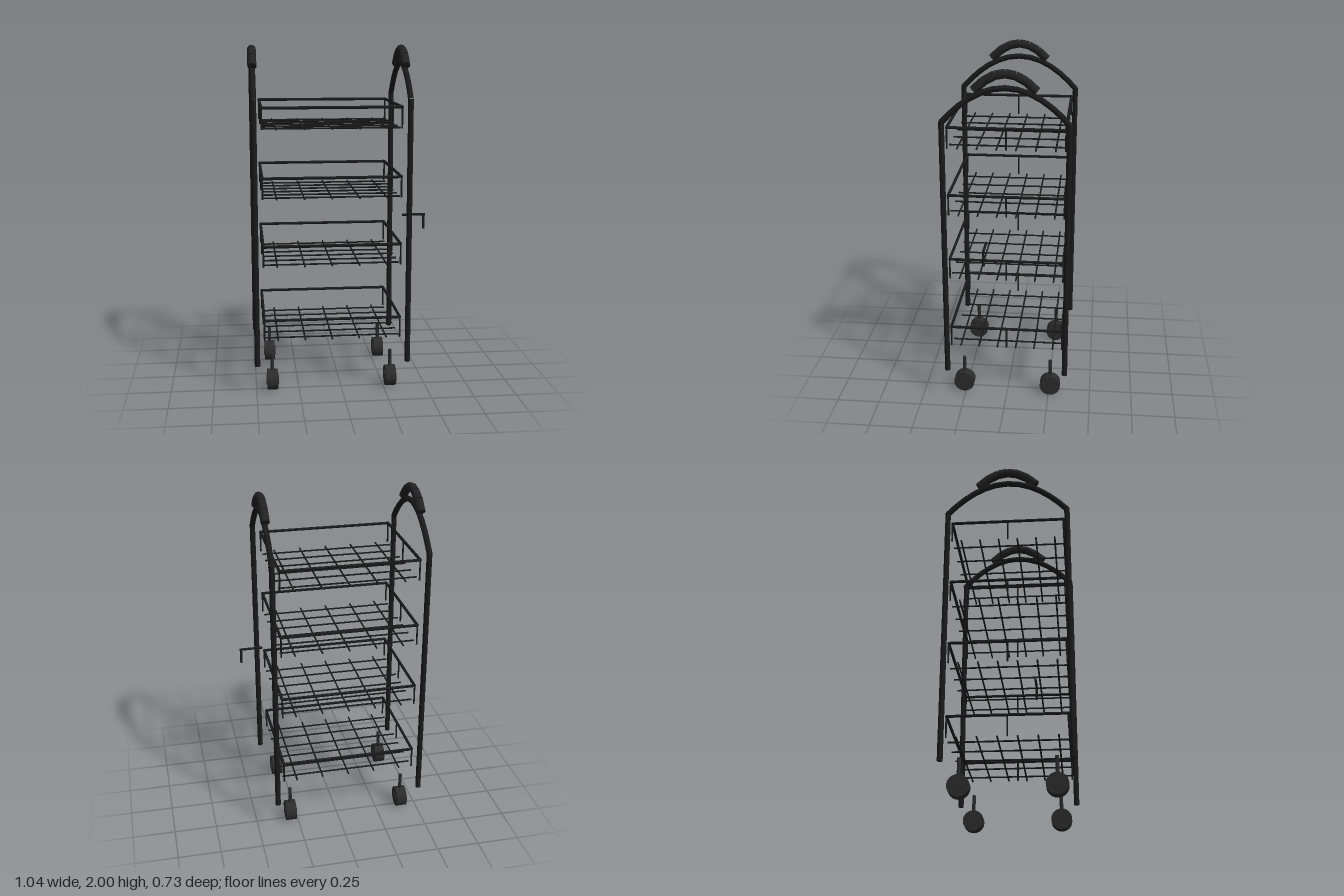
import * as THREE from 'three';

const mat = (name, color) => new THREE.MeshStandardMaterial({ name, color });

export function createModel() {
  const root = new THREE.Group();
  root.name = 'rollingCart';
  const frame = mat('blackMetal', 0x1a1a1a);
  const gripRubber = mat('gripRubber', 0x222222);
  const wheelRubber = mat('wheelRubber', 0x2b2b2b);

  const v = (x, y, z) => new THREE.Vector3(x, y, z);
  const UP = v(0, 1, 0);

  // Round rod between two points
  function rod(parent, name, a, b, r, material = frame, sides = 8) {
    const dir = b.clone().sub(a);
    const mesh = new THREE.Mesh(new THREE.CylinderGeometry(r, r, dir.length(), sides), material);
    mesh.position.copy(a).add(b).multiplyScalar(0.5);
    mesh.quaternion.setFromUnitVectors(UP, dir.normalize());
    mesh.name = name;
    parent.add(mesh);
  }

  function group(name) {
    const g = new THREE.Group();
    g.name = name;
    root.add(g);
    return g;
  }

  const CX = -0.057;      // centre of the cart body in x
  const POST_X = 0.4375, POST_Z = 0.349;

  // Parabolic arch in the side plane
  const arch = (x, z, yEnd, yTop) => new THREE.QuadraticBezierCurve3(
    v(x, yEnd, z), v(x, 2 * yTop - yEnd, 0), v(x, yEnd, -z));

  // Side frames: posts, arch and segmented grip
  for (const s of [-1, 1]) {
    const side = group(s > 0 ? 'leftSideFrame' : 'rightSideFrame');
    const x = CX + s * POST_X;
    for (const z of [-POST_Z, POST_Z]) {
      rod(side, 'post', v(x, 0.176, z), v(x, 1.705, z), 0.016, frame, 12);
    }
    const tube = new THREE.Mesh(
      new THREE.TubeGeometry(arch(x, POST_Z, 1.7, 1.896), 12, 0.0165, 12), frame);
    tube.name = 'handleArch';
    side.add(tube);

    const pts = arch(x, 0.17, 1.882, 1.974).getPoints(6);
    for (let i = 0; i < 6; i++) rod(side, 'gripSegment', pts[i], pts[i + 1], 0.0255, gripRubber, 10);
  }

  // Wire baskets
  const BX = 0.394, BZ = 0.328, DEPTH = 0.12;
  [1.66, 1.266, 0.876, 0.44].forEach((y) => {
    const basket = group('basket');
    const low = y - DEPTH;
    for (const s of [-1, 1]) {
      rod(basket, 'rimLong', v(CX - BX, y, s * BZ), v(CX + BX, y, s * BZ), 0.0085);
      rod(basket, 'rimShort', v(CX + s * BX, y, -BZ), v(CX + s * BX, y, BZ), 0.0085);
      for (const z of [-BZ, 0, BZ]) {
        rod(basket, 'upright', v(CX + s * BX, low, z), v(CX + s * BX, y, z), 0.005);
      }
    }
    // Floor wires sit at the centres of equal cells
    for (let i = 0; i < 6; i++) {
      const z = BZ * ((2 * i + 1) / 6 - 1);
      rod(basket, 'floorWireLong', v(CX - BX, low, z), v(CX + BX, low, z), 0.005);
    }
    for (let i = 0; i < 5; i++) {
      const x = CX + BX * ((2 * i + 1) / 5 - 1);
      rod(basket, 'floorWireShort', v(x, low, -BZ), v(x, low, BZ), 0.005);
    }
  });

  // Casters: wheel, hub and stem
  for (const sx of [-1, 1]) for (const sz of [-1, 1]) {
    const caster = group('caster');
    const x = CX + sx * 0.349, z = sz * 0.26, y = 0.061;
    rod(caster, 'wheel', v(x - 0.031, y, z), v(x + 0.031, y, z), 0.061, wheelRubber, 24);
    rod(caster, 'hub', v(x - 0.036, y, z), v(x + 0.036, y, z), 0.03, wheelRubber, 16);
    rod(caster, 'stem', v(x, y, z), v(x, 0.22, z), 0.0105, wheelRubber, 12);
  }

  // Side hook
  const hook = group('sideHook');
  const hx = CX + POST_X, hz = 0.11;
  rod(hook, 'hookArm', v(hx, 1.004, hz), v(0.517, 1.004, hz), 0.0075);
  rod(hook, 'hookTip', v(0.5095, 1.008, hz), v(0.5095, 0.917, hz), 0.0075);

  return root;
}
